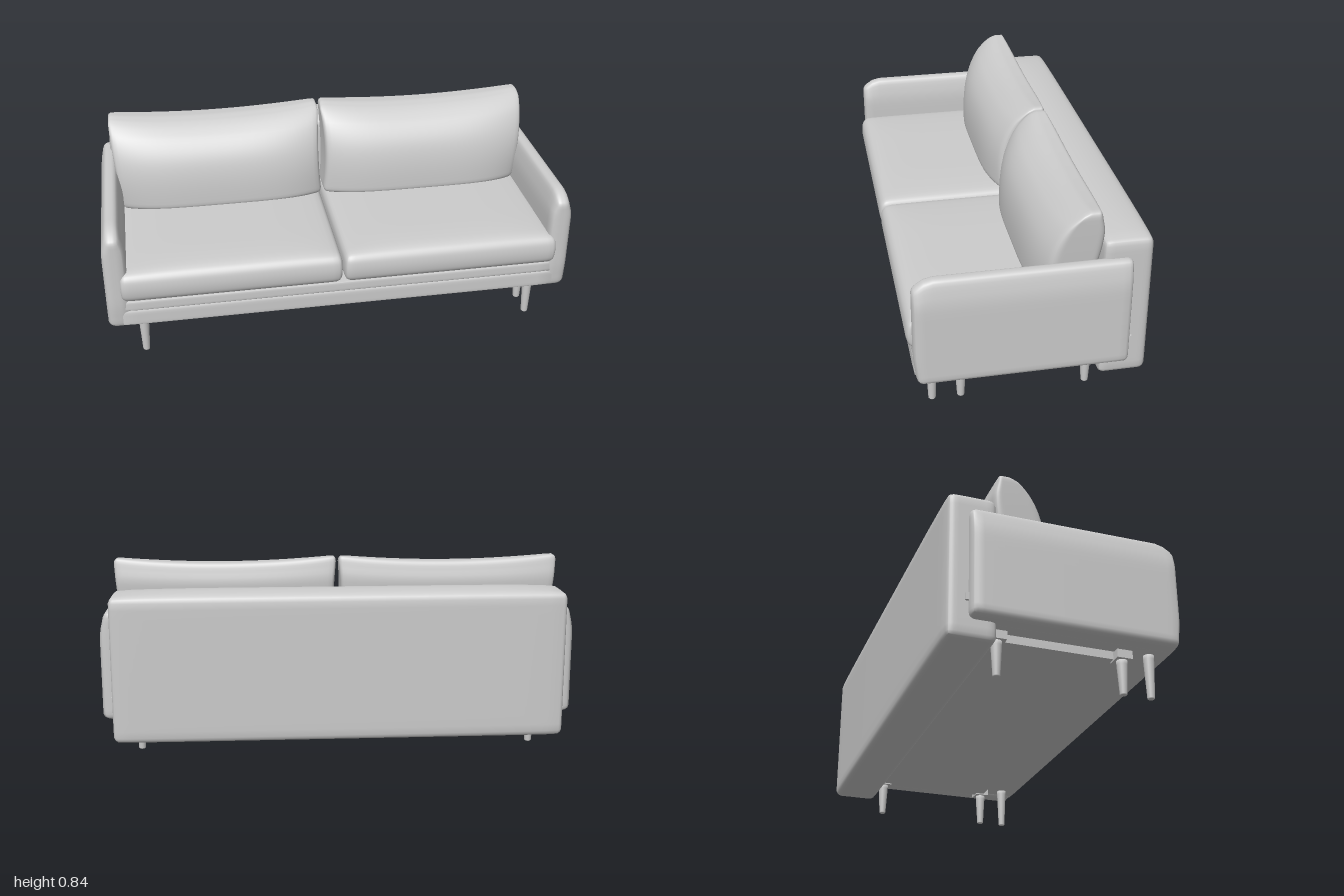
import * as THREE from 'three';
import { mergeVertices } from 'three/addons/utils/BufferGeometryUtils.js';

const material = new THREE.MeshStandardMaterial({ color: 0xcccccc });
const smooth = THREE.MathUtils.smoothstep;

// Finely divided box with rounded edges (one radius per axis), bent by an optional rule.
function softBox(size, radii, n = 10, warp = null) {
  const half = size.map((s) => s / 2);
  let geo = new THREE.BoxGeometry(2, 2, 2, n, n, n);
  geo.deleteAttribute('normal');
  geo.deleteAttribute('uv');
  geo = mergeVertices(geo);
  const pos = geo.attributes.position;
  const dir = new THREE.Vector3();
  const p = new THREE.Vector3();
  for (let i = 0; i < pos.count; i++) {
    p.fromBufferAttribute(pos, i);
    // Crowd the rows towards the edges, then round them
    const q = p.toArray().map((t, k) => Math.sin((t * Math.PI) / 2) * half[k]);
    const core = q.map((v, k) => THREE.MathUtils.clamp(v, radii[k] - half[k], half[k] - radii[k]));
    dir.fromArray(q.map((v, k) => (v - core[k]) / radii[k])).normalize();
    p.fromArray(core.map((c, k) => c + dir.getComponent(k) * radii[k]));
    if (warp) warp(p);
    pos.setXYZ(i, p.x, p.y, p.z);
  }
  geo.computeVertexNormals();
  return geo;
}

function add(parent, name, geo, x = 0, y = 0, z = 0) {
  const mesh = new THREE.Mesh(geo, material);
  mesh.name = name;
  mesh.position.set(x, y, z);
  parent.add(mesh);
  return mesh;
}

function legGeometry(height) {
  const r = 0.022;
  const profile = [[0, 0], [0.012, 0], [0.015, 0.004], [r, height - 0.02], [r, height], [0, height]];
  return new THREE.LatheGeometry(profile.map(([a, b]) => new THREE.Vector2(a, b)), 20);
}

// Seat cushion: crowned top, swelling front
function seatWarp(p) {
  const s = p.x / 0.468, t = p.y / 0.07, w = p.z / 0.375;
  const crown = (1 - s ** 4) * (1 - Math.max(w, 0) ** 6);
  if (t > 0) p.y += 0.016 * crown * t;
  if (w > 0) p.z += 0.016 * (1 - t * t) * smooth(w, 0.7, 1);
  p.x -= 0.006 * s * t * t;
}

// Back cushion: leaning wedge, bulging front, peaked corners
function backCushionWarp(p) {
  const s = p.x / 0.47, v = p.y / 0.4 + 0.5, w = p.z / 0.1;
  const ends = s ** 4;
  const front = -0.02 - 0.145 * v ** 3 - 0.06 * ends * (1 - 0.5 * v);
  const back = -0.225 - 0.07 * Math.sin(Math.min(v * 1.25, 1) * Math.PI / 2)
    + 0.015 * smooth(v, 0.75, 1) + 0.012 * ends;
  p.z = THREE.MathUtils.lerp(back, front, (w + 1) / 2);
  p.y -= 0.024 * (1 - s * s) * smooth(v, 0.5, 1);
  p.y -= 0.012 * smooth(w, 0, 1) * smooth(v, 0.8, 1);
  if (s > 0) p.x -= 0.035 * s * (1 - v) ** 1.3;
  else p.x += 0.012 * -s * Math.sin(v * Math.PI);
}

// Armrest: narrower towards the top, dropped front corner
function armWarp(p) {
  const top = smooth(p.y, 0.08, 0.235);
  p.x *= 1 - 0.4 * top * top;
  p.y -= 0.035 * smooth(p.z, 0.33, 0.43) ** 2 * smooth(p.y, 0.1, 0.235);
  p.z -= 0.01 * smooth(-p.y, 0.1, 0.235) * smooth(p.z, 0.2, 0.42);
}

export function createModel() {
  const sofa = new THREE.Group();
  sofa.name = 'sofa';

  // Base in two stacked layers, with the under-frame below
  add(sofa, 'lowerBase', softBox([1.88, 0.07, 0.74], [0.008, 0.008, 0.008], 8), 0, 0.219, 0.088);
  add(sofa, 'upperBase', softBox([1.88, 0.05, 0.74], [0.01, 0.01, 0.01], 8), 0, 0.279, 0.088);
  add(sofa, 'underFrame', new THREE.BoxGeometry(1.7, 0.04, 0.54), 0, 0.17, 0);

  // Storage backrest with a gently crowned top
  const backrest = softBox([1.9, 0.62, 0.2], [0.03, 0.03, 0.03], 16, (p) => {
    const s = p.x / 0.95, w = p.z / 0.1;
    if (p.y > 0) p.y += 0.016 * (p.y / 0.31) * (1 - w * w) * (1 - s ** 8);
    p.z -= 0.004 * smooth(-p.z, 0, 0.1) * (1 - s ** 6);
  });
  add(sofa, 'backrest', backrest, 0, 0.402, -0.378);

  const seat = softBox([0.936, 0.14, 0.75], [0.03, 0.035, 0.03], 22, seatWarp);
  const cushion = softBox([0.94, 0.4, 0.2], [0.02, 0.025, 0.03], 26, backCushionWarp);
  const arm = softBox([0.095, 0.465, 0.855], [0.04, 0.025, 0.025], 20, armWarp);
  const frontLeg = legGeometry(0.187);
  const innerLeg = legGeometry(0.147);
  const bracket = new THREE.BoxGeometry(0.065, 0.035, 0.065);

  // Each half is the same; the right one is turned over by a negative scale
  for (const [side, sign] of [['left', 1], ['right', -1]]) {
    const half = new THREE.Group();
    half.name = side + 'Half';
    half.scale.x = sign;
    sofa.add(half);

    add(half, 'seatCushion', seat, 0.471, 0.371, 0.092);
    add(half, 'backCushion', cushion, 0.474, 0.643, 0);
    add(half, 'armrest', arm, 0.9525, 0.405, 0.034);
    add(half, 'backCatch', new THREE.BoxGeometry(0.03, 0.03, 0.03), 0.945, 0.26, -0.393);
    add(half, 'frontLeg', frontLeg, 0.855, 0, 0.38);
    for (const z of [0.263, -0.253]) {
      add(half, 'innerLeg', innerLeg, 0.855, 0, z);
      add(half, 'legBracket', bracket, 0.855, 0.162, z);
    }
  }
  return sofa;
}
